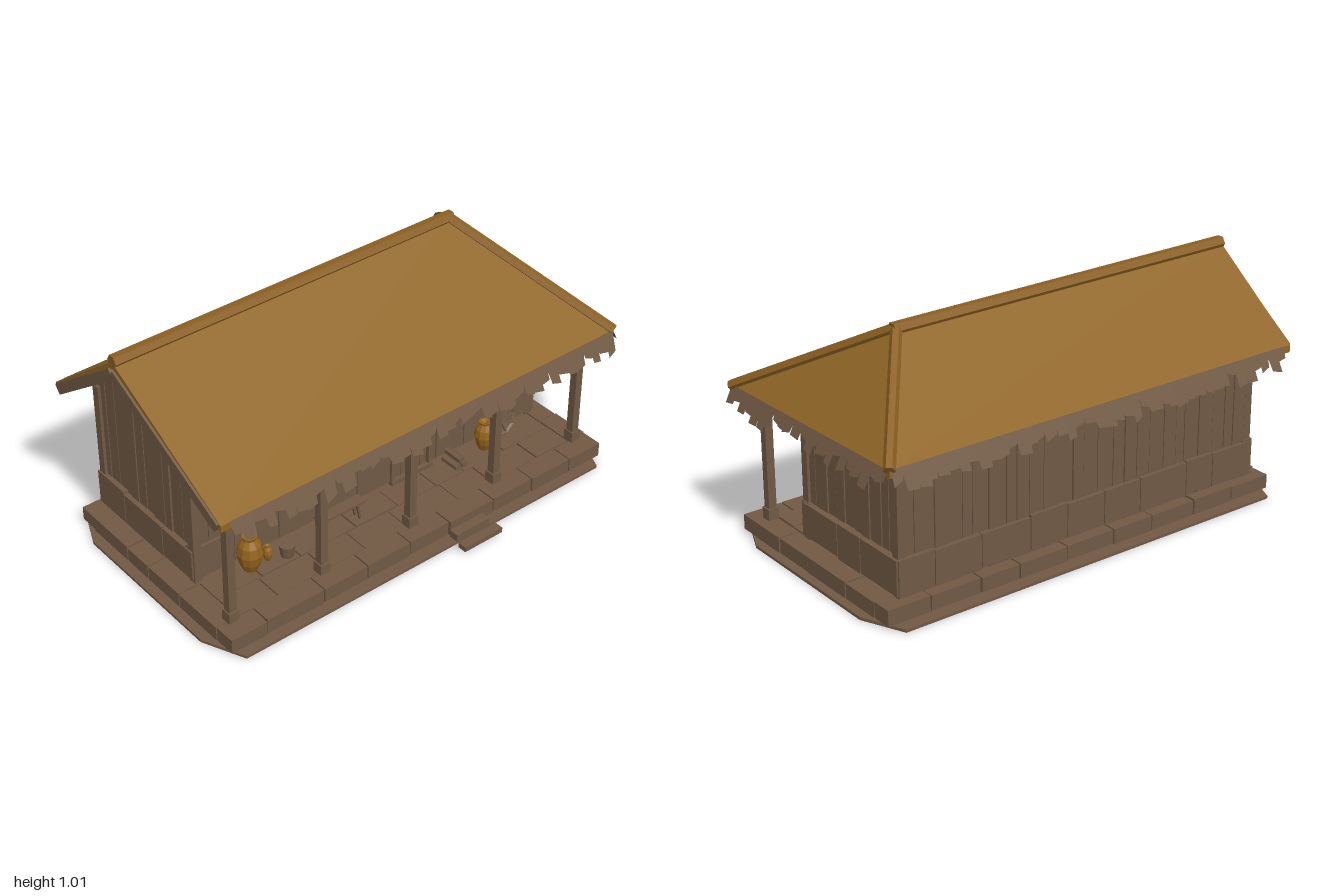
import * as THREE from 'three';

const mat = (name, color, side = THREE.FrontSide) => {
  const m = new THREE.MeshStandardMaterial({ color, side, flatShading: true });
  m.name = name;
  return m;
};

export function createModel() {
  const wood = mat('weathered brown', 0x715a44);
  const strawTrim = mat('fringe brown', 0x715a44, THREE.DoubleSide);
  const thatch = mat('thatch amber', 0x8f6626);
  const ridgeMat = mat('ridge amber', 0x8a5f20);
  const clay = mat('clay amber', 0x94641c);
  const model = new THREE.Group();
  model.name = 'thatchedHouse';

  let seed = 7;
  const rand = (a, b) => {
    seed = (seed * 16807) % 2147483647;
    return a + (b - a) * (seed / 2147483647);
  };
  const V = (x, y, z) => new THREE.Vector3(x, y, z);
  const group = (name, x = 0, y = 0, z = 0) => {
    const g = new THREE.Group();
    g.name = name;
    g.position.set(x, y, z);
    model.add(g);
    return g;
  };
  const add = (parent, name, geo, m, x = 0, y = 0, z = 0) => {
    const mesh = new THREE.Mesh(geo, m);
    mesh.name = name;
    mesh.position.set(x, y, z);
    parent.add(mesh);
    return mesh;
  };
  // Box given by its minimum and maximum on each axis
  const block = (parent, name, x0, x1, y0, y1, z0, z1, m = wood) =>
    add(parent, name, new THREE.BoxGeometry(x1 - x0, y1 - y0, z1 - z0), m,
      (x0 + x1) / 2, (y0 + y1) / 2, (z0 + z1) / 2);
  // Bar between two points
  const between = (parent, name, geo, m, a, b) => {
    const mesh = add(parent, name, geo, m);
    mesh.position.copy(a).add(b).multiplyScalar(0.5);
    mesh.lookAt(b);
    return mesh;
  };
  // Cut a span into uneven pieces
  const split = (from, to, step, fn) => {
    const n = Math.round((to - from) / step), w = (to - from) / n;
    let a = from;
    for (let i = 1; i <= n; i++) {
      const b = i === n ? to : from + w * (i + rand(-0.2, 0.2));
      fn(a, b, i);
      a = b;
    }
  };

  // Roof planes
  const frontLeft = V(-0.98, 0.635, 0.5), frontRight = V(0.95, 0.635, 0.5);
  const backLeft = V(-0.98, 0.665, -0.56), backRight = V(0.95, 0.665, -0.56);
  const ridgeLeft = V(-0.98, 0.985, -0.14), ridgeRight = V(0.62, 0.985, -0.14);
  const roofY = (x, z) => Math.min(0.635 + (0.5 - z) * 0.547,
    0.665 + (z + 0.56) * 0.762, 0.64 + (0.95 - x) * 1.05);

  // Earth skirt and plinth
  const outline = [[-0.92, -0.54], [0.88, -0.54], [0.96, -0.36], [0.96, 0.36],
    [0.88, 0.54], [-0.92, 0.54], [-1, 0.36], [-1, -0.36]];
  const skirt = new THREE.ExtrudeGeometry(
    new THREE.Shape(outline.map(([x, z]) => new THREE.Vector2(x, -z))),
    { depth: 0.012, bevelEnabled: false });
  skirt.rotateX(-Math.PI / 2);
  add(model, 'earthSkirt', skirt, wood);
  const plinth = group('plinth');
  block(plinth, 'core', -0.93, 0.9, 0.01, 0.075, -0.47, 0.47);
  for (const s of [1, -1]) {
    split(-0.96, 0.93, 0.2, (a, b) => {
      const out = s * rand(0.492, 0.502), inn = s * 0.41;
      block(plinth, 'edgeStone', a + 0.003, b - 0.003, rand(0.016, 0.022), rand(0.08, 0.086),
        Math.min(out, inn), Math.max(out, inn));
    });
    const [x0, x1] = s > 0 ? [0.84, 0.93] : [-0.96, -0.87];
    split(-0.41, 0.41, 0.2, (a, b) =>
      block(plinth, 'endStone', x0, x1 + rand(-0.004, 0.002), 0.018, rand(0.08, 0.086), a + 0.003, b - 0.003));
  }
  for (const [z0, z1] of [[0.17, 0.285], [0.29, 0.407]])
    split(-0.865, 0.835, 0.22, (a, b) =>
      block(plinth, 'floorSlab', a + 0.003, b - 0.003, 0.06, rand(0.079, 0.085), z0, z1));

  // Steps
  const steps = group('steps');
  block(steps, 'upperStep', 0.1, 0.27, 0.022, 0.055, 0.508, 0.55);
  block(steps, 'lowerStep', 0.09, 0.285, 0.014, 0.036, 0.57, 0.61);

  // Walls: solid core, plank cladding, stone footing
  const walls = group('walls');
  block(walls, 'wallCore', -0.845, 0.815, 0.08, 0.68, -0.43, 0.13);
  for (const [face, step] of [[0.145, 0.07], [-0.445, 0.065]])
    split(-0.86, 0.83, step, (a, b) => {
      const t = rand(0.005, 0.013);
      const top = Math.min(roofY(a, face), roofY(b, face)) - 0.05;
      block(walls, 'sidePlank', a + 0.0015, b - 0.0015, 0.09, top, face - t, face + t);
    });
  for (const face of [-0.86, 0.83])
    split(-0.445, 0.145, 0.06, (a, b) => {
      const t = rand(0.005, 0.013);
      const top = Math.min(roofY(face, a), roofY(face, b)) - 0.05;
      block(walls, 'endPlank', face - t, face + t, 0.09, top, a + 0.0015, b - 0.0015);
    });
  for (const x of [-0.865, 0.835]) for (const z of [0.152, -0.44])
    block(walls, 'cornerPost', x - 0.018, x + 0.018, 0.09, 0.67, z - 0.018, z + 0.018);
  const footing = group('stoneFooting');
  for (const [z0, z1] of [[0.12, 0.17], [-0.47, -0.43]])
    split(-0.885, 0.86, 0.19, (a, b) => {
      if (z0 > 0 && a < 0.27 && b > 0.1) { // leave the doorway open
        if (a < 0.08) block(footing, 'footStone', a + 0.002, 0.08, 0.1, 0.25, z0, z1);
        if (b > 0.29) block(footing, 'footStone', 0.29, b - 0.002, 0.1, 0.25, z0, z1);
      } else block(footing, 'footStone', a + 0.002, b - 0.002, rand(0.098, 0.108), rand(0.242, 0.252), z0, z1 + rand(-0.004, 0.002));
    });
  for (const [x0, x1] of [[-0.89, -0.84], [0.81, 0.865]])
    split(-0.465, 0.165, 0.21, (a, b) =>
      block(footing, 'endFootStone', x0, x1, rand(0.098, 0.11), rand(0.24, 0.252), a + 0.002, b - 0.002));

  // Door
  const door = group('door');
  for (let i = 0; i < 5; i++)
    block(door, 'doorPlank', 0.1 + i * 0.034, 0.131 + i * 0.034, 0.09, 0.455 + rand(-0.01, 0.005), 0.14, rand(0.163, 0.168));
  for (const x of [0.075, 0.27]) block(door, 'doorPost', x, x + 0.018, 0.085, 0.472, 0.14, 0.18);
  block(door, 'threshold', 0.075, 0.29, 0.085, 0.105, 0.14, 0.185);

  // Windows: barred opening beside a sliding shutter
  const windows = group('windows');
  for (const [barX, barW, shutX, shutW] of [[-0.5, 0.17, -0.3, 0.14], [0.71, 0.135, 0.56, 0.14]]) {
    for (const y of [0.372, 0.505]) block(windows, 'rail', barX, barX + barW, y, y + 0.012, 0.15, 0.172);
    for (let i = 0; i < 5; i++) {
      const x = barX + (barW - 0.014) * i / 4;
      block(windows, 'bar', x, x + 0.014, 0.365, 0.522, 0.15, 0.176);
    }
    block(windows, 'shutter', shutX, shutX + shutW, 0.375, 0.512, 0.15, 0.166);
    for (const x of [shutX, shutX + shutW - 0.012])
      block(windows, 'shutterEdge', x, x + 0.012, 0.37, 0.517, 0.15, 0.174);
  }

  // Porch posts on stone feet, with the beam they carry
  const porch = group('porch');
  for (const x of [-0.89, -0.46, -0.02, 0.42, 0.86]) {
    block(porch, 'postFoot', x - 0.023, x + 0.023, 0.083, 0.13, 0.382, 0.428);
    block(porch, 'post', x - 0.017, x + 0.017, 0.125, 0.65, 0.388, 0.422);
  }
  block(porch, 'porchBeam', -0.92, 0.89, 0.62, 0.645, 0.39, 0.42);

  // Thatched roof slab: three planes, underside and rim
  const roof = group('roof');
  const low = (p) => p.clone().setY(p.y - 0.03);
  const corners = [];
  const face = (...p) => {
    for (let i = 1; i < p.length - 1; i++) corners.push(p[0], p[i], p[i + 1]);
  };
  const planes = [[frontLeft, frontRight, ridgeRight, ridgeLeft],
    [backRight, backLeft, ridgeLeft, ridgeRight], [frontRight, backRight, ridgeRight]];
  for (const p of planes) {
    face(...p);
    face(...p.map(low).reverse());
  }
  const rim = [frontLeft, frontRight, backRight, backLeft, ridgeLeft];
  rim.forEach((a, i) => {
    const b = rim[(i + 1) % rim.length];
    face(low(a), low(b), b, a);
  });
  const slab = new THREE.BufferGeometry().setFromPoints(corners);
  slab.computeVertexNormals();
  add(roof, 'thatch', slab, thatch);

  // Ridge and hip caps
  const cap = (name, a, b, r) => {
    const geo = new THREE.CylinderGeometry(r, r, a.distanceTo(b), 6);
    geo.rotateX(Math.PI / 2);
    geo.rotateZ(Math.PI / 6);
    between(roof, name, geo, ridgeMat, a, b);
  };
  cap('ridgeCap', ridgeLeft, V(0.64, 0.982, -0.14), 0.028);
  cap('frontHipCap', ridgeRight, frontRight, 0.023);
  cap('backHipCap', ridgeRight, backRight, 0.023);

  // Rake boards on the gable end
  for (const eave of [frontLeft, backLeft]) {
    const a = V(-0.98, eave.y - 0.018, eave.z * 0.96), b = V(-0.98, 0.935, -0.14);
    between(roof, 'rakeBoard', new THREE.BoxGeometry(0.02, 0.045, a.distanceTo(b)), wood, a, b);
  }

  // Ragged fringe below the eaves
  const fringe = group('eaveFringe');
  const ragged = (a, b, out) => {
    const len = a.distanceTo(b), dir = b.clone().sub(a).normalize();
    split(0, len, 0.045, (s, e) => {
      const drop = rand(0.035, 0.085), tilt = rand(-0.008, 0.008);
      const at = (d, k) => a.clone().addScaledVector(dir, d).addScaledVector(out, k * 0.5)
        .add(V(0, -k, 0));
      const p = [at(s - 0.004, -0.005), at(e + 0.004, -0.005),
        at(e + tilt, drop + tilt), at(s + tilt, drop - tilt)];
      const geo = new THREE.BufferGeometry().setFromPoints([p[0], p[3], p[2], p[0], p[2], p[1]]);
      geo.computeVertexNormals();
      add(fringe, 'strawTuft', geo, strawTrim);
    });
  };
  ragged(V(-0.94, 0.632, 0.502), V(0.94, 0.632, 0.502), V(0, 0, 1));
  ragged(V(0.94, 0.662, -0.562), V(-0.94, 0.662, -0.562), V(0, 0, -1));
  ragged(V(0.952, 0.635, 0.49), V(0.952, 0.66, -0.55), V(1, 0, 0));

  // Clay jars
  const jar = (name, x, r, h) => {
    const pts = [[0, 0], [0.5, 0], [0.85, 0.25], [1, 0.5], [0.85, 0.75], [0.5, 0.92], [0.58, 1], [0.42, 1], [0, 0.92]];
    add(model, name, new THREE.LatheGeometry(pts.map(([a, b]) => new THREE.Vector2(a * r, b * h)), 10), clay, x, 0.085, 0.225);
  };
  jar('largeJar', -0.665, 0.053, 0.162);
  jar('smallJar', -0.582, 0.02, 0.07);
  jar('mediumJar', 0.533, 0.043, 0.135);

  // Basket and bench
  add(model, 'basket', new THREE.CylinderGeometry(0.035, 0.026, 0.055, 10), wood, -0.507, 0.112, 0.25);
  const bench = group('bench');
  block(bench, 'seat', -0.35, -0.13, 0.16, 0.17, 0.215, 0.265);
  for (const s of [-1, 1]) for (const z of [0.225, 0.255])
    between(bench, 'benchLeg', new THREE.BoxGeometry(0.01, 0.01, 0.085), wood,
      V(-0.24 + s * 0.09, 0.083, z), V(-0.24 + s * 0.075, 0.163, z));

  // Stacked firewood
  const logs = group('firewood');
  for (const [x, y] of [[0.35, 0.1], [0.385, 0.1], [0.367, 0.13]]) {
    const log = add(logs, 'log', new THREE.CylinderGeometry(0.016, 0.016, 0.09, 6), wood, x, y, 0.23);
    log.rotation.x = Math.PI / 2;
  }

  // Cart wheel leaning on the wall
  const wheel = group('cartWheel', 0.645, 0.165, 0.2);
  wheel.rotation.x = -0.2;
  add(wheel, 'wheelRim', new THREE.TorusGeometry(0.074, 0.008, 4, 10), wood);
  add(wheel, 'hub', new THREE.CylinderGeometry(0.016, 0.016, 0.03, 8).rotateX(Math.PI / 2), wood);
  for (let i = 0; i < 5; i++)
    add(wheel, 'spoke', new THREE.BoxGeometry(0.145, 0.008, 0.008), wood).rotation.z = i * Math.PI / 5;

  return model;
}
